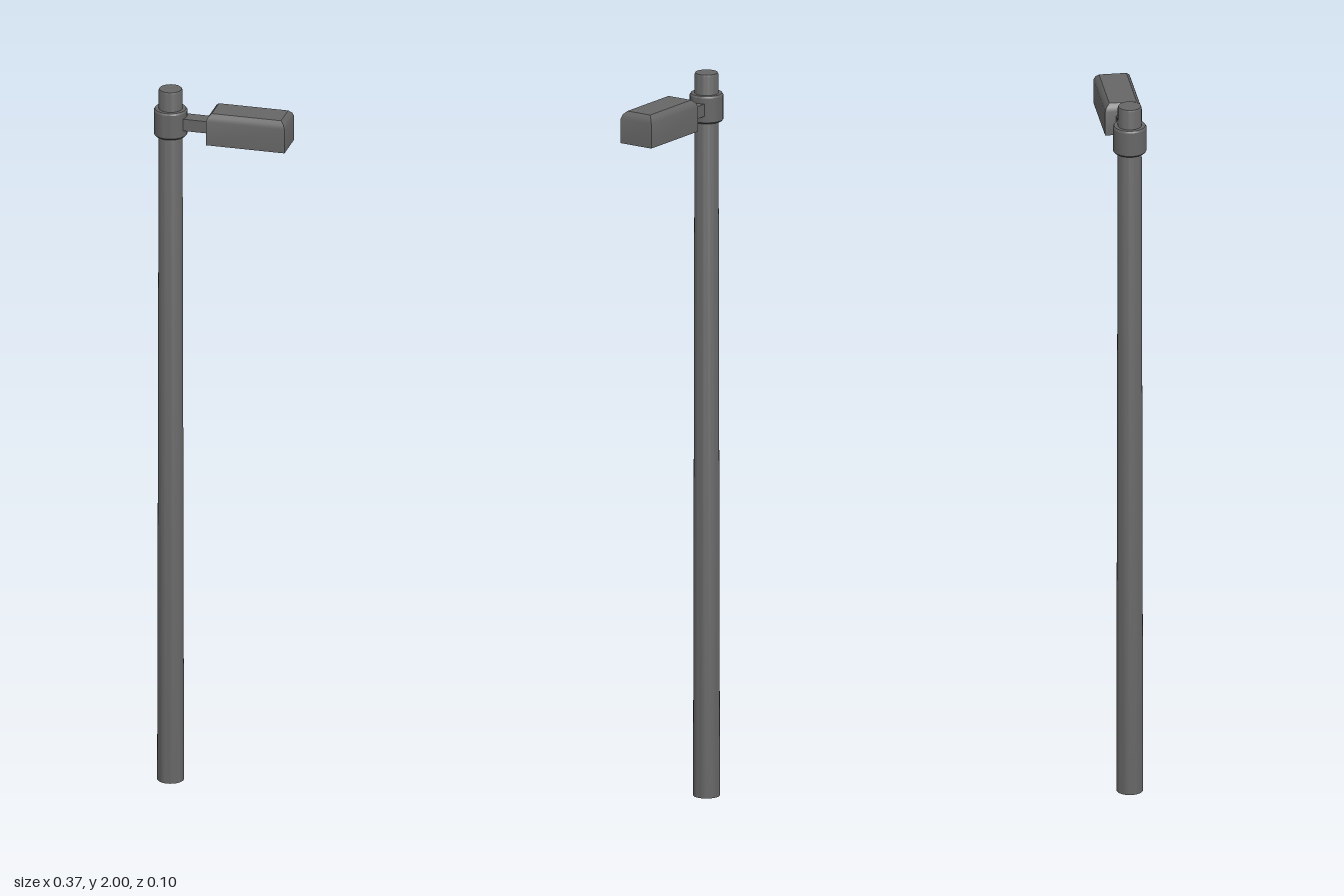
import * as THREE from 'three';
import { toCreasedNormals } from 'three/addons/utils/BufferGeometryUtils.js';

const POLE_X = -0.143;
const metal = new THREE.MeshStandardMaterial({ color: 0x666666 });
const glass = new THREE.MeshStandardMaterial({ color: 0xe4e4e4 });

function add(group, name, geometry, material, x = 0, y = 0, z = 0) {
  const mesh = new THREE.Mesh(geometry, material);
  mesh.name = name;
  mesh.position.set(x, y, z);
  group.add(mesh);
  return mesh;
}

// Turned part from [radius, height] pairs, with crisp edges
function turned(points) {
  const profile = points.map(([r, y]) => new THREE.Vector2(r, y));
  return toCreasedNormals(new THREE.LatheGeometry(profile, 32), 0.5);
}

// Skin over rectangular rings [halfX, halfZ, y], closed at the last ring
function rectLoft(rings, crease) {
  const pos = [], index = [];
  for (const [hx, hz, y] of rings) {
    pos.push(-hx, y, hz, hx, y, hz, hx, y, -hz, -hx, y, -hz);
  }
  for (let r = 0; r < rings.length - 1; r++) {
    for (let i = 0; i < 4; i++) {
      const a = r * 4 + i, b = r * 4 + (i + 1) % 4;
      index.push(a, b, b + 4, a, b + 4, a + 4);
    }
  }
  const e = (rings.length - 1) * 4;
  index.push(e, e + 1, e + 2, e, e + 2, e + 3);
  const geometry = new THREE.BufferGeometry();
  geometry.setAttribute('position', new THREE.Float32BufferAttribute(pos, 3));
  geometry.setIndex(index);
  return toCreasedNormals(geometry, crease);
}

export function createModel() {
  const model = new THREE.Group();

  // Slightly tapered pole with a softened top edge
  add(model, 'pole', turned([
    [0, 0], [0.036, 0], [0.032, 1.995], [0.03, 2], [0, 2],
  ]), metal, POLE_X);

  // Clamp around the pole
  add(model, 'collar', turned([
    [0.03, 1.868], [0.042, 1.868], [0.045, 1.872], [0.045, 1.939], [0.042, 1.944], [0.03, 1.944],
  ]), metal, POLE_X);

  // Short arm from the collar to the lamp head
  add(model, 'arm', new THREE.BoxGeometry(0.1, 0.034, 0.042), metal, -0.072, 1.907, 0);

  // Lamp head: recess ceiling is hidden by the lens, outer shell rises to a bevelled top
  const head = new THREE.Group();
  head.name = 'lampHead';
  head.position.set(0.077, 0, 0);
  add(head, 'housing', rectLoft([
    [0.09, 0.036, 1.885], [0.095, 0.041, 1.868], [0.109, 0.05, 1.868],
    [0.109, 0.05, 1.936], [0.105, 0.046, 1.947], [0.096, 0.037, 1.956],
  ], 0.6), metal);
  const lens = add(head, 'lens', new THREE.PlaneGeometry(0.18, 0.072), glass, 0, 1.885, 0);
  lens.rotation.x = Math.PI / 2;
  model.add(head);

  return model;
}
